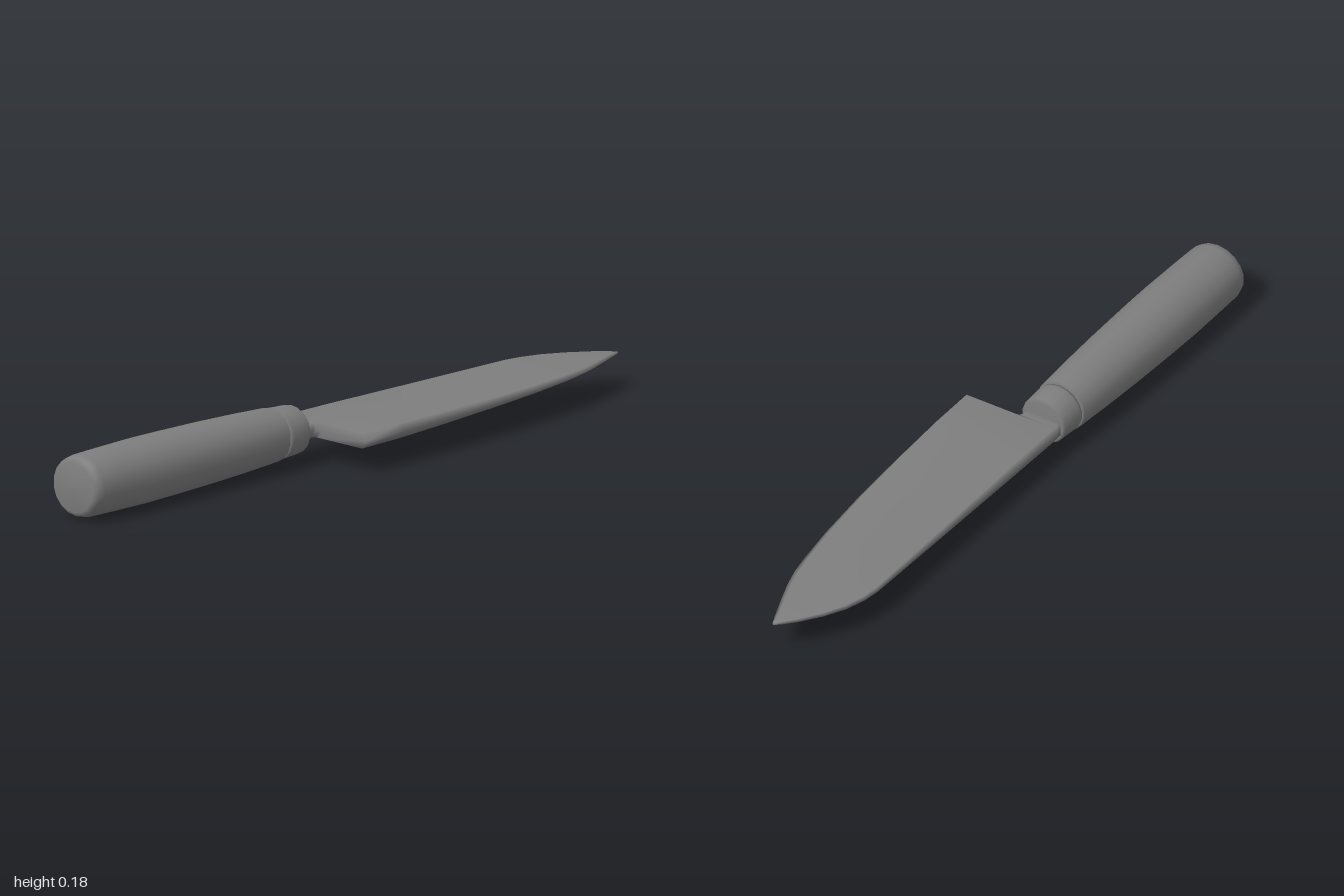
import * as THREE from 'three';

const material = new THREE.MeshStandardMaterial({ color: 0x7e7e7e });
const AXIS_X = -0.071, AXIS_Y = 0.088;

// Smooth round part lying along z, from [radius, z] pairs in order of rising z
function turned(name, profile) {
  const points = profile.map(([r, z]) => new THREE.Vector2(r, z));
  const geometry = new THREE.LatheGeometry(points, 18).rotateX(Math.PI / 2).scale(1, 0.96, 1);
  const mesh = new THREE.Mesh(geometry, material);
  mesh.name = name;
  mesh.position.set(AXIS_X, AXIS_Y, 0);
  return mesh;
}

// Blade sections from handle to tip: [z, spine x, edge x, half thickness, bevel width]
const SECTIONS = [
  [0.18, -0.128, -0.02, 0.02, 0.004],
  [0.135, -0.13, -0.02, 0.02, 0.004],
  [0.127, -0.13, -0.014, 0.02, 0.006],
  [0.123, -0.13, 0, 0.02, 0.01],
  [0.122, -0.13, 0.161, 0.021, 0.014],
  [-0.03, -0.13, 0.16, 0.02, 0.014],
  [-0.2, -0.131, 0.153, 0.017, 0.014],
  [-0.4, -0.132, 0.141, 0.0135, 0.014],
  [-0.58, -0.132, 0.124, 0.011, 0.014],
  [-0.72, -0.132, 0.104, 0.009, 0.014],
  [-0.77, -0.126, 0.094, 0.008, 0.014],
  [-0.83, -0.109, 0.077, 0.007, 0.013],
  [-0.89, -0.079, 0.055, 0.006, 0.012],
  [-0.95, -0.038, 0.032, 0.005, 0.01],
  [-0.985, -0.008, 0.018, 0.004, 0.006],
  [-1, 0.007, 0.011, 0.003, 0.002],
];

// Five-cornered sections joined in order, with normals shared across the edges
function bladeGeometry() {
  const positions = [], index = [], n = 5;
  for (const [z, spine, edge, t, bevel] of SECTIONS) {
    const ring = [[spine, -t], [edge - bevel, -t], [edge, 0], [edge - bevel, t], [spine, t]];
    for (const [x, y] of ring) positions.push(x, AXIS_Y + y, z);
  }
  const last = (SECTIONS.length - 1) * n;
  for (let row = 0; row < last; row += n) {
    for (let j = 0; j < n; j++) {
      const a = row + j, b = row + (j + 1) % n;
      index.push(a, a + n, b + n, a, b + n, b);
    }
  }
  // End caps
  for (let j = 1; j < n - 1; j++) {
    index.push(0, j, j + 1, last, last + j + 1, last + j);
  }
  const geometry = new THREE.BufferGeometry();
  geometry.setAttribute('position', new THREE.Float32BufferAttribute(positions, 3));
  geometry.setIndex(index);
  geometry.computeVertexNormals();
  return geometry;
}

export function createModel() {
  const group = new THREE.Group();
  group.name = 'kitchenKnife';

  // Swelling grip with a rounded butt
  group.add(turned('handle', [
    [0, 0.238], [0.07, 0.238], [0.076, 0.245], [0.082, 0.36], [0.087, 0.5], [0.0905, 0.66],
    [0.0915, 0.76], [0.0895, 0.9], [0.088, 0.965], [0.083, 0.985], [0.07, 0.997], [0, 1],
  ]));

  // Collar between grip and blade
  group.add(turned('ferrule', [
    [0, 0.155], [0.062, 0.155], [0.069, 0.163], [0.071, 0.2], [0.073, 0.228], [0.07, 0.24], [0, 0.24],
  ]));

  // Blade with neck, straight heel and bevelled edge
  const blade = new THREE.Mesh(bladeGeometry(), material);
  blade.name = 'blade';
  group.add(blade);

  return group;
}
